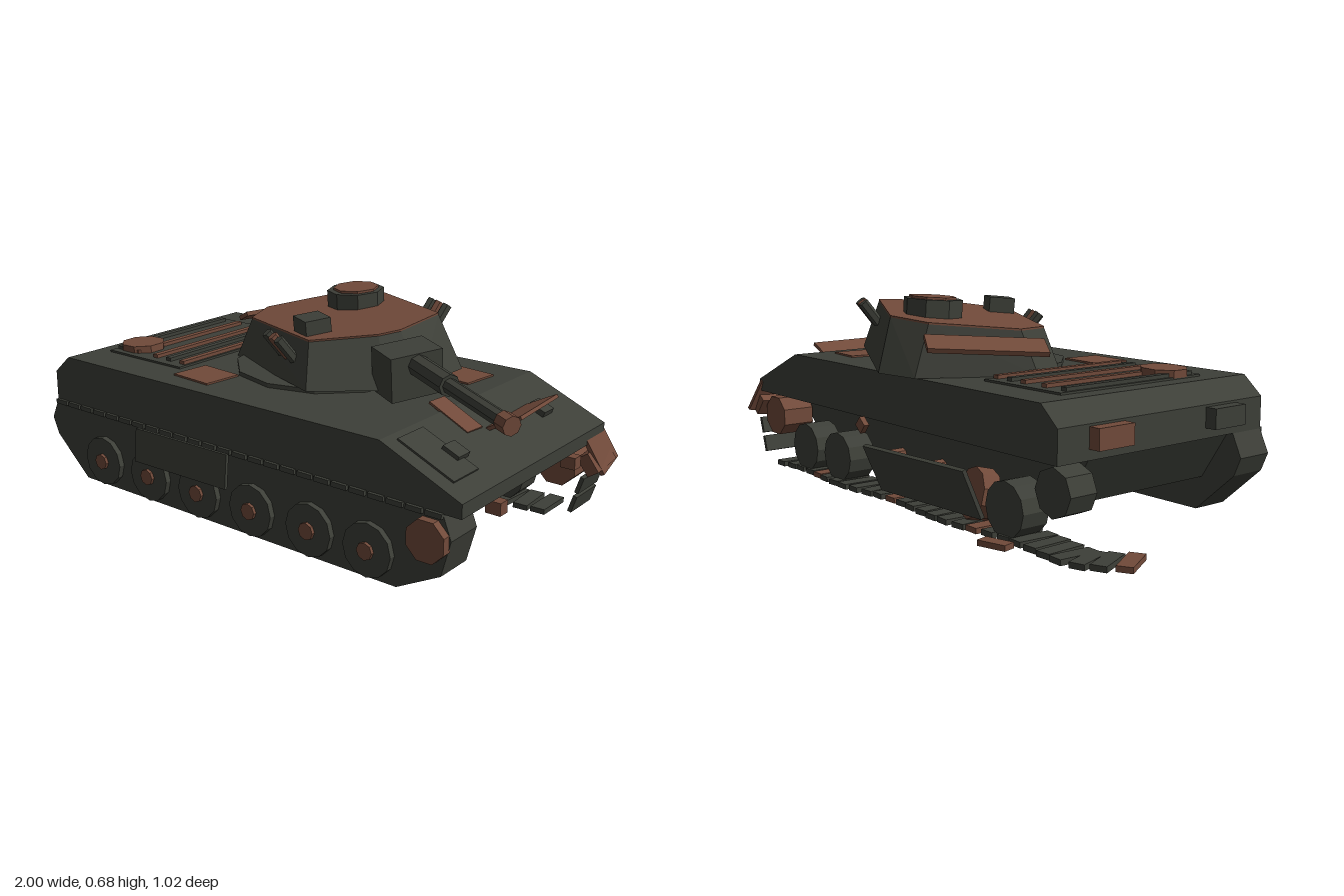
import * as THREE from 'three';
import { ConvexGeometry } from 'three/addons/geometries/ConvexGeometry.js';

export function createModel() {
  const root = new THREE.Group();
  root.name = 'wreckedTank';
  const steel = new THREE.MeshStandardMaterial({ color: 0x3d3f38, flatShading: true });
  steel.name = 'dark steel';
  const rust = new THREE.MeshStandardMaterial({ color: 0x714a3a, flatShading: true });
  rust.name = 'rust';

  const add = (parent, name, geo, mat, pos = [0, 0, 0], rot = [0, 0, 0]) => {
    const m = new THREE.Mesh(geo, mat);
    m.name = name;
    m.position.set(...pos);
    m.rotation.set(...rot);
    parent.add(m);
    return m;
  };
  const box = (name, mat, size, pos, rot, parent = root) =>
    add(parent, name, new THREE.BoxGeometry(...size), mat, pos, rot);
  const disc = (name, mat, r, h, sides, pos, rot, parent = root) =>
    add(parent, name, new THREE.CylinderGeometry(r, r, h, sides), mat, pos, rot);
  // side profile in x, y pushed from z0 to z1
  const prism = (name, mat, pts, z0, z1) => {
    const shape = new THREE.Shape(pts.map(p => new THREE.Vector2(...p)));
    return add(root, name, new THREE.ExtrudeGeometry(shape, { depth: z1 - z0, bevelEnabled: false }), mat, [0, 0, z0]);
  };
  const Q = Math.PI / 2;

  // hull
  prism('upperHull', steel, [[-0.8, 0.275], [0.9, 0.275], [0.9, 0.32], [0.62, 0.442], [-0.73, 0.442], [-0.8, 0.38]], -0.42, 0.455);
  prism('lowerHull', steel, [[-0.78, 0.275], [-0.68, 0.115], [0.68, 0.115], [0.86, 0.275]], -0.28, 0.32);

  // intact track
  prism('track', steel, [[-0.8, 0.275], [-0.835, 0.2], [-0.81, 0.14], [-0.66, 0.005], [0.69, 0.005],
    [0.84, 0.085], [0.87, 0.2], [0.84, 0.275]], 0.32, 0.455);
  const wheelX = [-0.55, -0.32, -0.09, 0.14, 0.375, 0.595];
  for (const x of wheelX) {
    disc('roadWheel', steel, 0.087, 0.03, 12, [x, 0.1, 0.46], [Q, 0, 0]);
    disc('wheelHub', rust, 0.028, 0.03, 8, [x, 0.1, 0.471], [Q, 0, 0]);
  }
  disc('sprocket', rust, 0.068, 0.035, 8, [0.8, 0.19, 0.465], [Q, Q / 4, 0]);
  for (let i = 0; i < 25; i++) box('topLink', steel, [0.055, 0.016, 0.02], [-0.77 + i * 0.066, 0.27, 0.456]);
  box('looseSkirt', steel, [0.405, 0.115, 0.012], [-0.145, 0.215, 0.492], [-0.09, 0.02, 0]);

  // broken side: remaining wheels and bare axles
  for (const x of [-0.55, 0.375, 0.595]) {
    disc('roadWheel', steel, 0.087, 0.1, 12, [x, 0.1, -0.35], [Q, 0, 0]);
  }
  disc('tiltedWheel', rust, 0.083, 0.06, 10, [-0.36, 0.1, -0.34], [Q + 0.25, 0, 0.2]);
  for (const x of [-0.09, 0.14]) disc('bareAxle', rust, 0.025, 0.1, 8, [x, 0.13, -0.32], [Q, 0, 0]);
  disc('idler', steel, 0.075, 0.1, 8, [-0.76, 0.19, -0.35], [Q, 0, 0]);
  disc('sprocket', rust, 0.075, 0.12, 8, [0.8, 0.19, -0.35], [Q, Q / 4, 0]);
  box('fallenSkirt', steel, [0.51, 0.172, 0.014], [-0.225, 0.137, -0.465], [-0.42, 0.03, 0]);

  // thrown track lying on the ground
  for (let i = 0; i < 25; i++) {
    const x = 0.75 - i * 0.065;
    box('groundLink', i % 7 === 4 ? rust : steel, [0.052, 0.018, 0.14],
      [x, 0.014, -0.35 + 0.012 * Math.sin(i * 0.7)], [0, 0.08 * Math.sin(i * 2.3), 0]);
  }
  for (const [x, z, a, m] of [[-0.86, -0.355, 0.3, steel], [-0.905, -0.325, 0.4, steel], [-0.95, -0.28, 0.5, rust]]) {
    box('groundLink', m, [0.05, 0.018, 0.135], [x, 0.014, z], [0, a, 0]);
  }
  box('strayLink', rust, [0.1, 0.018, 0.045], [-0.58, 0.014, -0.457], [0, 0.25, 0]);
  box('strayBracket', rust, [0.04, 0.04, 0.02], [0.16, 0.25, -0.43], [0, 0, 0.7]);

  // links hanging at the bow and torn mudguard
  box('hangingLink', steel, [0.014, 0.06, 0.14], [0.893, 0.14, -0.35], [0, 0, -0.3]);
  box('hangingLink', steel, [0.014, 0.06, 0.14], [0.873, 0.07, -0.35], [0, 0, -0.3]);
  box('hangingLink', rust, [0.045, 0.07, 0.13], [0.91, 0.215, -0.36], [0.1, 0, 0.6]);
  box('tornMudguard', rust, [0.014, 0.13, 0.13], [0.915, 0.245, -0.375], [0.2, 0.1, 0.45]);

  // bow fittings
  for (const z of [-0.235, 0.275]) box('headlamp', steel, [0.06, 0.03, 0.06], [0.76, 0.385, z], [0, 0, -0.41]);
  for (const z of [-0.21, 0.25]) box('towHook', rust, [0.05, 0.04, 0.04], [0.89, 0.245, z]);
  box('openHatch', rust, [0.125, 0.012, 0.27], [0.78, 0.418, -0.083], [0, 0.07, 0.48]);
  box('bowPlate', steel, [0.21, 0.008, 0.13], [0.74, 0.392, 0.335], [0, 0, -0.41]);
  box('bowRustPatch', rust, [0.16, 0.008, 0.075], [0.65, 0.43, 0.1], [0, -0.08, -0.41]);

  // rear boxes
  box('rearBox', rust, [0.05, 0.065, 0.14], [-0.815, 0.34, -0.23]);
  box('rearBox', steel, [0.05, 0.065, 0.14], [-0.815, 0.34, 0.26]);

  // engine deck with slats
  box('engineDeck', steel, [0.35, 0.01, 0.6], [-0.495, 0.444, 0.01]);
  [-0.65, -0.565, -0.47, -0.405, -0.34].forEach((x, i) =>
    box('deckSlat', i % 3 === 0 ? steel : rust, [0.022, 0.02, 0.54], [x, 0.451, 0.01]));
  disc('deckCap', rust, 0.078, 0.025, 8, [-0.6, 0.46, 0.215], [0, Q / 4, 0.03]);
  box('deckRustPatch', rust, [0.165, 0.008, 0.14], [-0.195, 0.444, 0.31], [0, -0.08, 0]);
  box('deckRustPatch', rust, [0.14, 0.008, 0.14], [0.475, 0.444, -0.23], [0, -0.1, 0]);
  disc('turretRing', steel, 0.32, 0.016, 12, [0.05, 0.448, -0.04]);

  // turret: turned aside, local x runs along the gun
  const turret = new THREE.Group();
  turret.name = 'turret';
  turret.position.set(0.05, 0, -0.11);
  turret.rotation.y = -0.462;
  root.add(turret);
  const roofY = (u, w) => 0.61 + 0.045 * u - 0.09 * w;
  const ring = (half, y) => half.flatMap(([u, w]) => [w, -w].map(s => new THREE.Vector3(u, y(u, s), s)));
  const base = ring([[0.45, 0.06], [0.333, 0.285], [-0.22, 0.3], [-0.33, 0.2]], (u, w) => 0.455 + 0.04 * u - 0.01 * w);
  const roofHalf = [[0.35, 0.04], [0.25, 0.237], [-0.19, 0.255], [-0.3, 0.15]];
  const roof = ring(roofHalf, roofY);
  add(turret, 'turretBody', new ConvexGeometry([...base, ...roof]), steel);
  add(turret, 'turretRoof', new ConvexGeometry([...roof, ...ring(roofHalf, (u, w) => roofY(u, w) + 0.006)]), rust);

  disc('cupola', steel, 0.1, 0.07, 8, [-0.089, 0.64, -0.1], [0.06, Q / 4, 0], turret);
  disc('cupolaHatch', rust, 0.08, 0.012, 8, [-0.089, 0.677, -0.1], [0.06, Q / 4, 0], turret);
  box('sightBox', steel, [0.1, 0.07, 0.09], [0.154, 0.622, 0.18], [0.09, 0, 0], turret);
  box('rearRack', rust, [0.09, 0.016, 0.385], [-0.394, 0.55, 0.017], [0.06, 0, 0.4], turret);

  // smoke launchers on both cheeks
  for (const s of [-1, 1]) {
    for (let i = -1; i <= 1; i++) {
      disc('smokeTube', i ? steel : rust, 0.018, 0.09, 6,
        [0.135 + i * 0.048, s > 0 ? 0.565 : 0.615, s * 0.285], [s * 0.65, 0, 0.1], turret);
    }
  }

  // gun, drooping slightly
  const gun = new THREE.Group();
  gun.name = 'gun';
  gun.position.set(0.47, 0.575, 0);
  gun.rotation.z = -0.07;
  turret.add(gun);
  box('mantlet', steel, [0.13, 0.145, 0.18], [0, -0.035, 0], [0.09, 0, 0], gun);
  disc('gunSleeve', steel, 0.035, 0.2, 8, [0.15, 0, 0], [0, 0, Q], gun);
  disc('barrel', steel, 0.024, 0.36, 8, [0.37, 0, 0], [0, 0, Q], gun);
  disc('muzzle', rust, 0.03, 0.045, 8, [0.55, 0, 0], [0, 0, Q], gun);

  return root;
}
